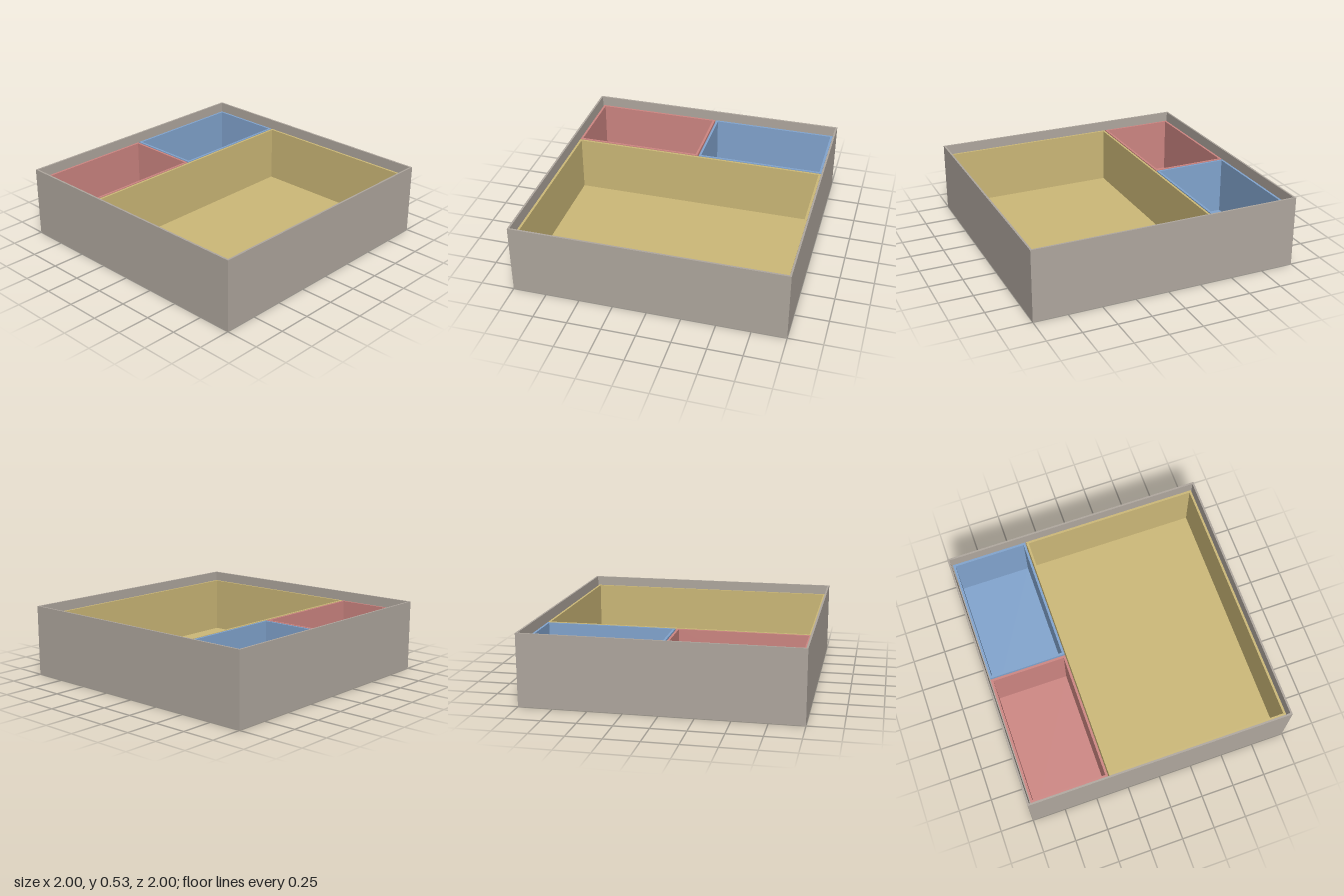
import * as THREE from 'three';

// Open box standing on y0: a floor slab and a wall ring, spanning x0..x1, z0..z1
function openBox(name, material, [x0, x1], [z0, z1], [y0, y1], wall, floor) {
  const w = x1 - x0, d = z1 - z0;
  const rect = (path, hw, hd) =>
    path.moveTo(-hw, -hd).lineTo(hw, -hd).lineTo(hw, hd).lineTo(-hw, hd).closePath();

  const ring = rect(new THREE.Shape(), w / 2, d / 2);
  ring.holes.push(rect(new THREE.Path(), w / 2 - wall, d / 2 - wall));
  const wallGeometry = new THREE.ExtrudeGeometry(ring, { depth: y1 - y0, bevelEnabled: false });
  wallGeometry.rotateX(-Math.PI / 2);
  const walls = new THREE.Mesh(wallGeometry, material);
  walls.name = name + 'Walls';

  // The slab fills the ring's opening
  const base = new THREE.Mesh(new THREE.BoxGeometry(w - 2 * wall, floor, d - 2 * wall), material);
  base.position.y = floor / 2;
  base.name = name + 'Floor';

  const group = new THREE.Group();
  group.name = name;
  group.position.set((x0 + x1) / 2, y0, (z0 + z1) / 2);
  group.add(walls, base);
  return group;
}

export function createModel() {
  const paint = (name, color) => {
    const material = new THREE.MeshStandardMaterial({ color });
    material.name = name;
    return material;
  };
  const grey = paint('warm grey', 0xb0a89f);
  const yellow = paint('sand yellow', 0xcdb978);
  const blue = paint('soft blue', 0x82a5cf);
  const red = paint('soft red', 0xce8682);

  const model = new THREE.Group();
  model.name = 'drawerWithTrays';

  // Outer drawer
  model.add(openBox('drawer', grey, [-1, 1], [-1, 1], [0, 0.53], 0.014, 0.014));

  // Loose trays resting on the drawer floor
  const trayHeight = [0.014, 0.46];
  const trays = [
    ['largeTray', yellow, [-0.387, 0.973], [-0.973, 0.973]],
    ['backTray', blue, [-0.973, -0.395], [-0.973, -0.006]],
    ['frontTray', red, [-0.973, -0.395], [0.004, 0.973]],
  ];
  for (const [name, material, x, z] of trays)
    model.add(openBox(name, material, x, z, trayHeight, 0.017, 0.017));

  return model;
}
